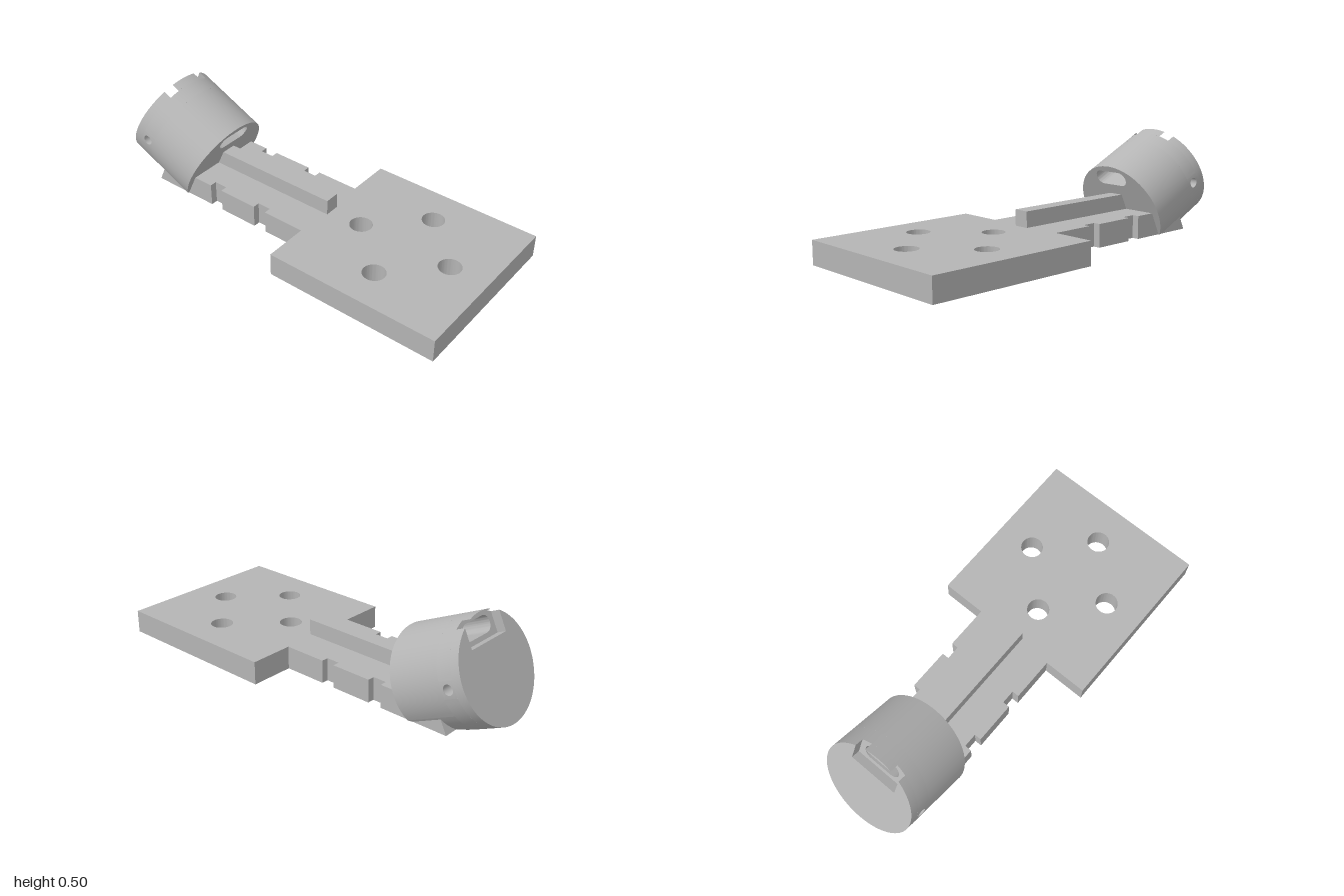
import * as THREE from 'three';
import { toCreasedNormals } from 'three/addons/utils/BufferGeometryUtils.js';

const grey = new THREE.MeshStandardMaterial({ color: 0xb4b4b4, side: THREE.DoubleSide });
grey.name = 'plain grey';

const R = 0.25, LEN = 0.388;            // tilted barrel radius and length
const TILT = THREE.MathUtils.degToRad(25);
const COS = Math.cos(TILT), SIN = Math.sin(TILT);
const CY = 0.1135, CZ = -0.546;         // centre of the barrel's front face
const V = (x, y) => new THREE.Vector2(x, y);

function add(parent, name, geometry) {
  const mesh = new THREE.Mesh(geometry, grey);
  mesh.name = name;
  parent.add(mesh);
  return mesh;
}

// Points along the barrel's rim
function arc(a0, a1) {
  const n = Math.max(8, Math.ceil((a1 - a0) / 0.09));
  return Array.from({ length: n + 1 }, (_, i) => {
    const a = a0 + (a1 - a0) * i / n;
    return V(R * Math.cos(a), R * Math.sin(a));
  });
}

function circleHole(x, y, r) {
  const p = new THREE.Path();
  p.absarc(x, y, r, 0, Math.PI * 2, true);
  return p;
}

// Rounded slot running along the barrel
function slotPath() {
  const r = 0.0385, c = 0.0585, y = 0.1805;
  const p = new THREE.Path();
  p.absarc(c, y, r, -Math.PI / 2, Math.PI / 2, false);
  p.absarc(-c, y, r, Math.PI / 2, Math.PI * 1.5, false);
  p.closePath();
  return p;
}

// Barrel slice between two distances behind the front face
function slice(points, t0, t1, hole, rule) {
  const shape = new THREE.Shape(points);
  if (hole) shape.holes.push(hole);
  const g = new THREE.ExtrudeGeometry(shape, { depth: t1 - t0, bevelEnabled: false, curveSegments: 16 });
  g.translate(0, 0, -t1);
  if (rule) bend(g, rule);
  return toCreasedNormals(g, 0.5);
}

function bend(g, rule) {
  const p = g.attributes.position, v = new THREE.Vector3();
  for (let i = 0; i < p.count; i++) {
    rule(v.fromBufferAttribute(p, i));
    p.setXYZ(i, v.x, v.y, v.z);
  }
}

// Curved skin around a pin hole, from the round rim out to a rectangle
function pinPatch(half, z0, z1, zc, r) {
  const N = 48, K = 4, pos = [], nor = [], idx = [];
  for (let k = 0; k <= K; k++) {
    for (let i = 0; i <= N; i++) {
      const a = i / N * Math.PI * 2, c = Math.cos(a), s = Math.sin(a);
      const m = Math.max(Math.abs(c), Math.abs(s));
      const y = THREE.MathUtils.lerp(r * c, half * c / m, k / K);
      const edge = s > 0 ? z1 - zc : zc - z0;
      const z = zc + THREE.MathUtils.lerp(r * s, edge * s / m, k / K);
      const x = Math.sqrt(R * R - y * y);
      pos.push(x, y, z);
      nor.push(x / R, y / R, 0);
      if (k < K && i < N) {
        const q = k * (N + 1) + i, u = q + N + 1;
        idx.push(q, u, q + 1, q + 1, u, u + 1);
      }
    }
  }
  const g = new THREE.BufferGeometry();
  g.setAttribute('position', new THREE.Float32BufferAttribute(pos, 3));
  g.setAttribute('normal', new THREE.Float32BufferAttribute(nor, 3));
  g.setIndex(idx);
  return g;
}

// Flat plate and notched neck, drawn in plan (plan y is -z)
function plateGeometry() {
  const w = 0.43, n = 0.21, d = 0.175;
  const side = [[w, -1], [w, -0.13], [n, -0.13], [n, 0.09], [d, 0.09], [d, 0.16], [n, 0.16],
    [n, 0.37], [d, 0.37], [d, 0.44], [n, 0.44], [n, 0.8]];
  const outline = [...side.map(([x, y]) => V(x, y)), ...side.slice().reverse().map(([x, y]) => V(-x, y))];
  const shape = new THREE.Shape(outline);
  for (const [x, z] of [[0, 0.32], [0, 0.805], [0.24, 0.565], [-0.24, 0.565]]) {
    shape.holes.push(circleHole(x, -z, 0.055));
  }
  const g = new THREE.ExtrudeGeometry(shape, { depth: 0.115, bevelEnabled: false, curveSegments: 32 });
  g.rotateX(-Math.PI / 2);
  // The neck's end is cut parallel to the barrel's faces
  bend(g, v => {
    if (v.z < -0.7) v.z = CZ - (0.182 - (v.y - CY) * SIN) / COS;
  });
  return toCreasedNormals(g, 0.5);
}

export function createModel() {
  const model = new THREE.Group();
  model.name = 'mountingBracket';
  add(model, 'plateAndNeck', plateGeometry());

  // Stiffening rib on the neck
  add(model, 'rib', new THREE.BoxGeometry(0.076, 0.083, 0.75)).position.set(0, 0.1515, -0.225);

  // Tilted barrel: local y is radial, local -z runs along its axis
  const barrel = new THREE.Group();
  barrel.name = 'barrel';
  barrel.position.set(0, CY, CZ);
  barrel.rotation.x = TILT;
  model.add(barrel);

  const PI = Math.PI, T1 = 0.27, T2 = LEN - 0.045;
  const cut = Math.asin(CY / COS / R);
  add(barrel, 'barrelFront', slice(arc(-cut, PI + cut), 0, T1, slotPath()));

  // Underside trimmed level with the ground
  add(barrel, 'barrelUnderside', slice(arc(PI + cut, 2 * PI - cut), 0, T1, null, v => {
    if (v.z > -0.01) v.z = Math.min(0, (CY + COS * v.y) / SIN);
  }));

  // Middle slice with a gap on each side for the pin holes
  const half = 0.04, a = Math.asin(half / R), depth = 0.15;
  add(barrel, 'barrelMiddle', slice([
    ...arc(a, PI - a), V(-depth, half), V(-depth, -half),
    ...arc(PI + a, 2 * PI - a), V(depth, -half), V(depth, half),
  ], T1, T2, slotPath()));

  for (const [name, turn] of [['left', 0], ['right', PI]]) {
    const pin = new THREE.Group();
    pin.name = name + 'PinHole';
    pin.rotation.z = turn;
    barrel.add(pin);
    add(pin, name + 'PinSkin', pinPatch(half, -T2, -T1, -0.308, 0.025));
    const bore = add(pin, name + 'PinBore', new THREE.CylinderGeometry(0.025, 0.025, 0.099, 32, 1, true));
    bore.rotation.z = PI / 2;
    bore.position.set(0.1993, 0, -0.308);
  }

  // Back slice with a rectangular pocket, closed above by a thin tongue
  const px = 0.125, pocketLow = 0.12, pocketTop = 0.2385;
  const open = Math.acos(px / R);
  add(barrel, 'barrelBack', slice([
    ...arc(PI - open, 2 * PI + open), V(px, pocketLow), V(-px, pocketLow),
  ], T2, LEN));
  const tip = Math.asin(pocketTop / R);
  add(barrel, 'pocketTongue', slice(arc(tip, PI - tip), T2, LEN));

  return model;
}
